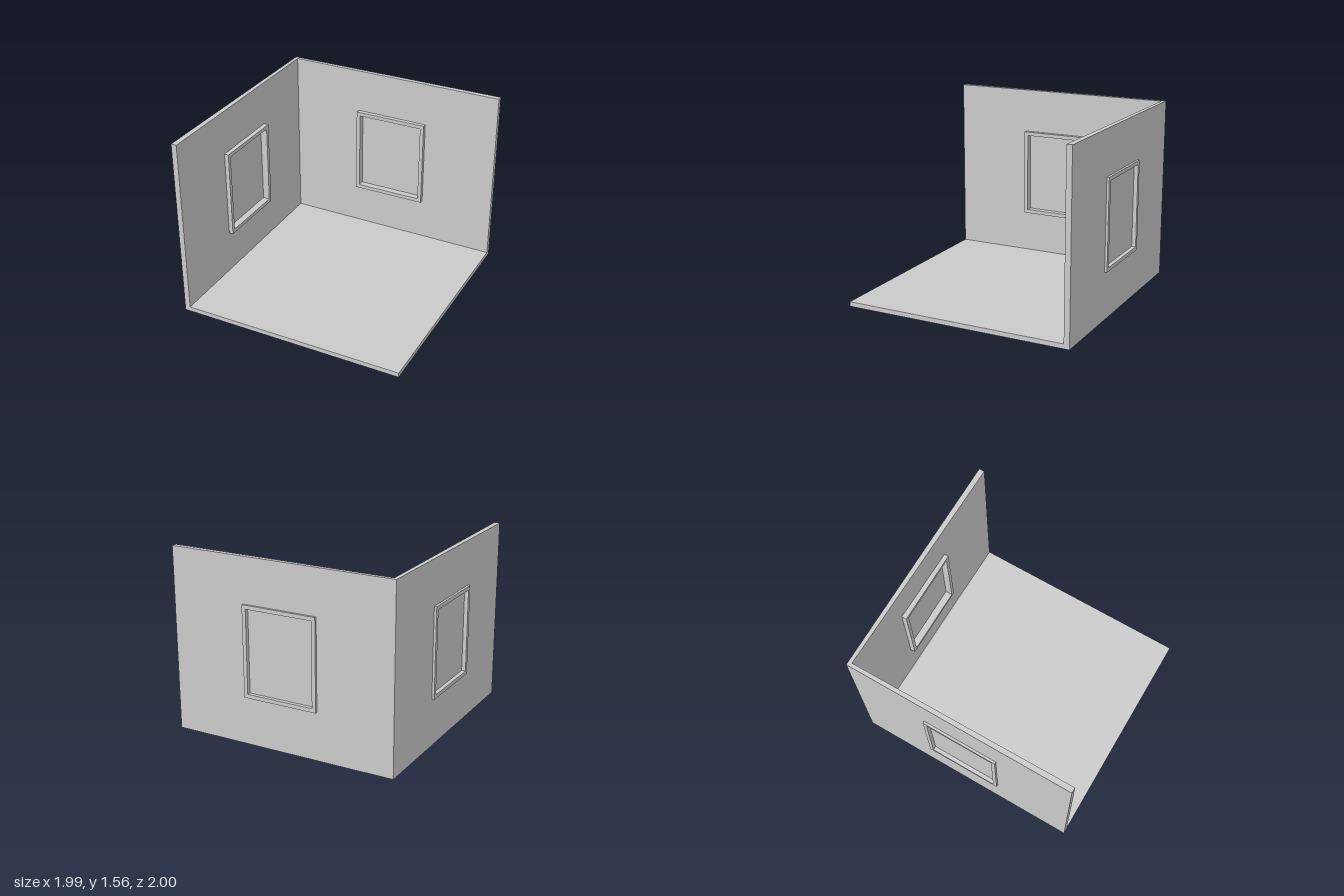
import * as THREE from 'three';

const material = new THREE.MeshStandardMaterial({ color: 0xcccccc, flatShading: true });
const OUTER = -0.98; // outer face of a wall
const HEIGHT = 1.56;
const SILL = 0.44, HEAD = 1.145, RIM = 0.033; // window opening and frame width

function part(name, geometry) {
  const mesh = new THREE.Mesh(geometry, material);
  mesh.name = name;
  return mesh;
}

function box(name, x0, x1, y0, y1, z0, z1) {
  const g = new THREE.BoxGeometry(x1 - x0, y1 - y0, z1 - z0);
  g.translate((x0 + x1) / 2, (y0 + y1) / 2, (z0 + z1) / 2);
  return part(name, g);
}

function rectangle(Type, x0, x1, y0, y1) {
  return new Type().moveTo(x0, y0).lineTo(x1, y0).lineTo(x1, y1).lineTo(x0, y1).closePath();
}

// Upright slab with a rectangular opening, from z0 to z1
function slabWithOpening(outer, opening, z0, z1) {
  const shape = rectangle(THREE.Shape, ...outer);
  shape.holes.push(rectangle(THREE.Path, ...opening));
  return new THREE.ExtrudeGeometry(shape, { depth: z1 - z0, bevelEnabled: false }).translate(0, 0, z0);
}

// Wall facing +z with a framed window; the inner face tapers from the corner to the open end
function windowWall(name, x0, x1, open0, open1, cornerX, endX) {
  const group = new THREE.Group();
  group.name = name;
  const opening = [open0, open1, SILL, HEAD];

  const wall = slabWithOpening([x0, x1, 0, HEIGHT], opening, OUTER, -0.94);
  const p = wall.attributes.position;
  for (let i = 0; i < p.count; i++) {
    if (p.getZ(i) > -0.96) {
      const t = (p.getX(i) - cornerX) / (endX - cornerX);
      p.setZ(i, THREE.MathUtils.lerp(-0.948, -0.932, t));
    }
  }
  wall.computeVertexNormals();
  group.add(part('wallPanel', wall));

  // Frame standing proud of both wall faces
  const frame = [open0 - RIM, open1 + RIM, SILL - RIM, HEAD + RIM];
  group.add(part('windowFrame', slabWithOpening(frame, opening, -1, -0.9)));

  // Thin pane set inside the opening
  group.add(box('windowPane', ...opening, -0.966, -0.96));
  return group;
}

export function createModel() {
  const room = new THREE.Group();
  room.name = 'roomCorner';

  room.add(box('floor', -0.98, 0.99, 0, 0.04, -0.98, 1));
  room.add(windowWall('backWall', -0.98, 0.99, -0.288, 0.3, -0.98, 0.99));

  // Side wall: same build, turned to face +x with its corner at the back
  const side = windowWall('rightWall', -1, 0.98, -0.308, 0.283, 0.98, -1);
  side.rotation.y = Math.PI / 2;
  room.add(side);
  return room;
}
